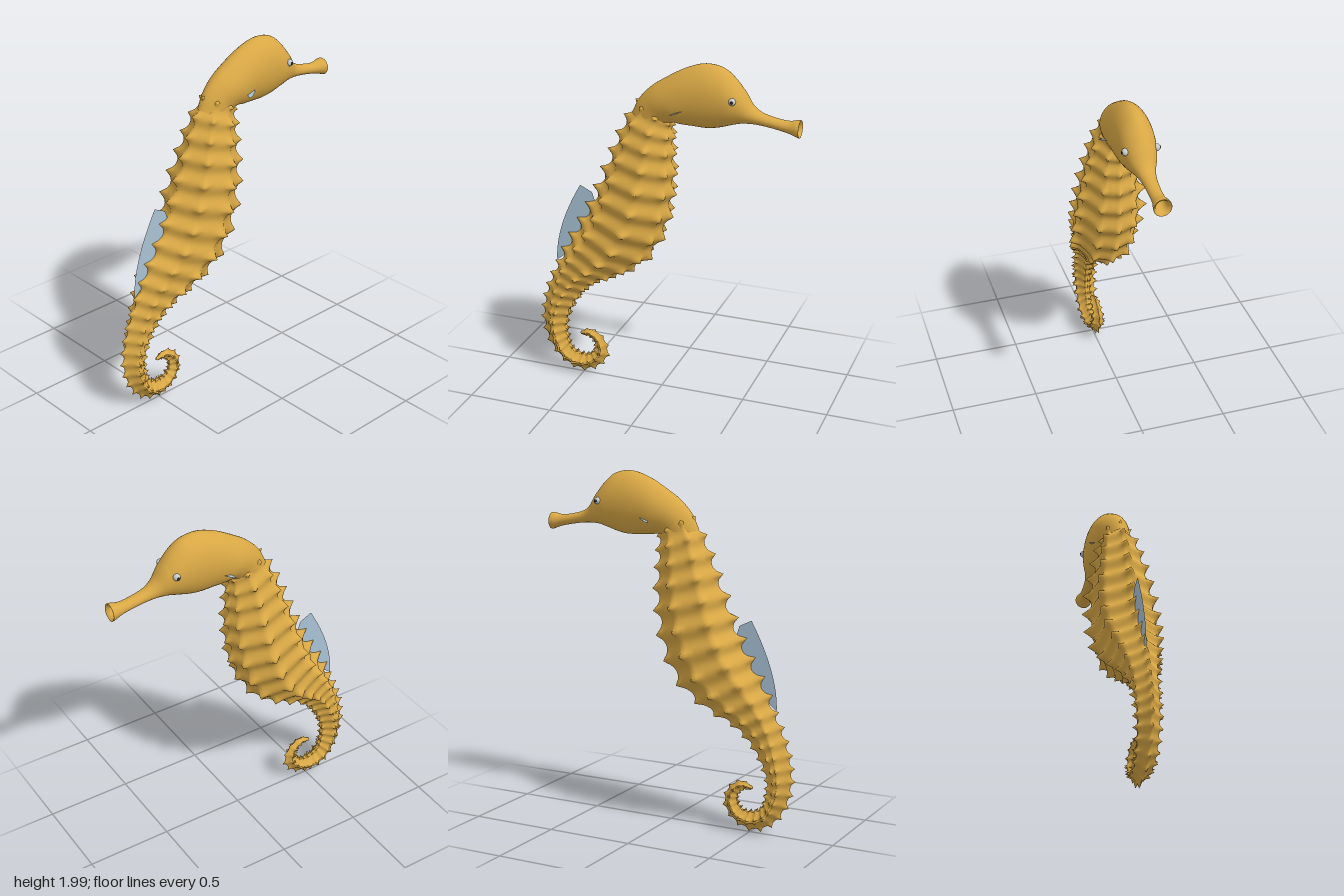
import * as THREE from 'three';

const lerp = THREE.MathUtils.lerp;

// Smooth closed-ring skin through equally sized rows of points
function skin(rows) {
  const n = rows[0].length, pos = [], idx = [];
  rows.forEach(r => r.forEach(p => pos.push(p.x, p.y, p.z)));
  for (let i = 0; i < rows.length - 1; i++) {
    for (let j = 0; j < n; j++) {
      const a = i * n + j, b = i * n + (j + 1) % n;
      idx.push(a, a + n, b, b, a + n, b + n);
    }
  }
  const g = new THREE.BufferGeometry();
  g.setAttribute('position', new THREE.Float32BufferAttribute(pos, 3));
  g.setIndex(idx);
  g.computeVertexNormals();
  return g;
}

// Side profile as sections [backZ, backY, bellyZ, bellyY, halfWidth]
function profile(list) {
  const back = new THREE.CatmullRomCurve3(list.map(s => new THREE.Vector3(s[4], s[1], s[0])));
  const belly = new THREE.CatmullRomCurve3(list.map(s => new THREE.Vector3(0, s[3], s[2])));
  return u => {
    const a = back.getPoint(u), b = belly.getPoint(u);
    const w = Math.max(a.x, 0);
    a.x = b.x = 0;
    const d = a.clone().sub(b), h = d.length() / 2;
    return { c: a.add(b).multiplyScalar(0.5), d: d.normalize(), h, w };
  };
}

// Ringed, ridged body: angular section, one thorn per ridge on every ring
function bodyGeometry() {
  const at = profile([
    [0.05, 1.80, -0.07, 1.71, 0.06],
    [0.13, 1.77, -0.08, 1.65, 0.085],
    [0.21, 1.67, -0.085, 1.57, 0.125],
    [0.27, 1.55, -0.09, 1.46, 0.155],
    [0.32, 1.43, -0.095, 1.33, 0.18],
    [0.37, 1.31, -0.085, 1.20, 0.20],
    [0.43, 1.16, -0.05, 1.02, 0.21],
    [0.51, 1.00, 0.06, 0.81, 0.20],
    [0.59, 0.86, 0.22, 0.69, 0.165],
    [0.66, 0.71, 0.39, 0.61, 0.12],
    [0.71, 0.60, 0.48, 0.53, 0.09],
    [0.75, 0.47, 0.55, 0.43, 0.08],
    [0.765, 0.33, 0.59, 0.32, 0.075],
    [0.725, 0.17, 0.585, 0.23, 0.07],
    [0.63, 0.055, 0.565, 0.165, 0.065],
    [0.51, 0.015, 0.51, 0.14, 0.058],
    [0.395, 0.06, 0.46, 0.145, 0.05],
    [0.335, 0.15, 0.435, 0.175, 0.043],
    [0.36, 0.25, 0.435, 0.215, 0.035],
    [0.44, 0.303, 0.465, 0.245, 0.028],
    [0.51, 0.28, 0.495, 0.25, 0.015],
    [0.52, 0.262, 0.52, 0.262, 0],
  ]);
  const rows = [], amps = [1, 0.8, 1, 0.7, 0.6], steps = 6000, perRing = 10;
  let phase = 0, mark = 0, prev = at(0).c;
  for (let i = 0; i <= steps; i++) {
    const u = i / steps, { c, d, h, w } = at(u);
    phase += c.distanceTo(prev) / (0.025 + 0.45 * h);
    prev = c;
    if (phase < mark / perRing && i < steps) continue;
    const f = Math.abs(mark / perRing - Math.round(mark / perRing));
    mark++;
    const swell = 1 - 0.09 * (1 - Math.cos(2 * Math.PI * f)) / 2;
    const thorn = Math.max(0, 1 - f / 0.24) ** 1.3;
    const len = Math.min(0.035, 0.011 + h * 0.1, h * 0.3);
    // ridge angles slide from a rounded trunk to a diamond tail
    const k = THREE.MathUtils.smoothstep(u, 0.38, 0.58);
    const ridge = [0, lerp(52, 82, k), lerp(102, 98, k), lerp(148, 165, k), 180];
    const half = [];
    for (let e = 0; e < 4; e++) {
      for (let q = 0; q < 8; q++) {
        const v = q / 8, A = ridge[e] * Math.PI / 180, B = ridge[e + 1] * Math.PI / 180;
        const near = v < 0.5 ? amps[e] : amps[e + 1];
        const s = near * Math.max(0, 1 - Math.min(v, 1 - v) / 0.26);
        half.push([lerp(Math.sin(A), Math.sin(B), v), lerp(Math.cos(A), Math.cos(B), v), s]);
      }
    }
    half.push([0, -1, amps[4]]);
    const ring = half.concat(half.slice(1, -1).reverse().map(([x, y, s]) => [-x, y, s]));
    rows.push(ring.map(([x, y, s]) => {
      const out = (s * thorn - 0.55) * len, m = Math.hypot(x, y);
      const px = x * w * swell + x / m * Math.min(out, w);
      const py = y * h * swell + y / m * Math.min(out, h);
      return c.clone().addScaledVector(d, py).add(new THREE.Vector3(px, 0, 0));
    }));
  }
  return skin(rows);
}

// Head, neck and hollow trumpet snout in one smooth skin
function headGeometry() {
  const at = profile([
    [-0.68, 1.705, -0.68, 1.703, 0],
    [-0.69, 1.73, -0.69, 1.68, 0.025],
    [-0.765, 1.728, -0.765, 1.66, 0.034],
    [-0.78, 1.742, -0.78, 1.645, 0.048],
    [-0.765, 1.742, -0.765, 1.65, 0.048],
    [-0.72, 1.733, -0.72, 1.665, 0.037],
    [-0.65, 1.74, -0.65, 1.68, 0.035],
    [-0.56, 1.765, -0.56, 1.693, 0.041],
    [-0.515, 1.80, -0.50, 1.695, 0.054],
    [-0.475, 1.86, -0.45, 1.69, 0.074],
    [-0.42, 1.93, -0.39, 1.673, 0.092],
    [-0.35, 1.985, -0.33, 1.655, 0.10],
    [-0.25, 2.0, -0.27, 1.645, 0.104],
    [-0.14, 1.967, -0.18, 1.647, 0.104],
    [-0.02, 1.90, -0.12, 1.65, 0.101],
    [0.06, 1.845, -0.08, 1.655, 0.092],
    [0.13, 1.77, -0.055, 1.645, 0.078],
    [0.17, 1.69, -0.03, 1.60, 0.07],
  ]);
  const rows = [], n = 40;
  for (let i = 0; i <= 136; i++) {
    const { c, d, h, w } = at(i / 136), row = [];
    for (let j = 0; j < n; j++) {
      const a = j / n * 2 * Math.PI, x = Math.sin(a), y = Math.cos(a);
      // slight keel along the crown
      const pinch = h > 0.1 ? 1 - 0.16 * Math.max(0, y) ** 3 : 1;
      row.push(c.clone().addScaledVector(d, y * h).add(new THREE.Vector3(x * w * pinch, 0, 0)));
    }
    rows.push(row);
  }
  return skin(rows);
}

export function createModel() {
  const model = new THREE.Group();
  const mat = (name, color, side = THREE.FrontSide) => {
    const m = new THREE.MeshStandardMaterial({ color, side });
    m.name = name;
    return m;
  };
  const gold = mat('golden skin', 0xd9a845);
  const finBlue = mat('pale blue fin', 0xa9c2d4, THREE.DoubleSide);
  const eyeGrey = mat('pale eye', 0xc9ccca);
  const dark = mat('dark pupil', 0x2a2824);
  const add = (name, geo, material) => {
    const m = new THREE.Mesh(geo, material);
    m.name = name;
    model.add(m);
    return m;
  };

  add('ringedBodyAndTail', bodyGeometry(), gold);
  add('headAndSnout', headGeometry(), gold);

  // Dorsal fin: flat sail on the centre line of the back
  const sail = new THREE.Shape();
  sail.moveTo(-0.497, 1.21);
  sail.quadraticCurveTo(-0.66, 0.93, -0.655, 0.72);
  sail.lineTo(-0.58, 0.78);
  sail.lineTo(-0.40, 1.10);
  sail.lineTo(-0.425, 1.175);
  add('dorsalFin', new THREE.ShapeGeometry(sail, 16).rotateY(Math.PI / 2), finBlue);

  for (const side of [1, -1]) {
    const label = side > 0 ? 'left' : 'right';

    // Small fin behind the cheek
    const fin = new THREE.Shape();
    fin.moveTo(0.085, -0.155);
    fin.quadraticCurveTo(0.118, -0.145, 0.13, -0.09);
    fin.lineTo(0.12, -0.085);
    fin.lineTo(0.085, -0.10);
    const g = new THREE.ShapeGeometry(fin, 8).rotateX(Math.PI / 2);
    const p = g.attributes.position;
    for (let i = 0; i < p.count; i++) {
      p.setXYZ(i, p.getX(i) * side, 1.727 - (p.getZ(i) + 0.085) * 0.37, p.getZ(i));
    }
    g.computeVertexNormals();
    add(label + 'CheekFin', g, finBlue);

    // Eye and pupil
    const eye = add(label + 'Eye', new THREE.SphereGeometry(0.02, 20, 14), eyeGrey);
    eye.position.set(side * 0.084, 1.83, -0.425);
    const pupil = add(label + 'Pupil', new THREE.SphereGeometry(0.009, 14, 10), dark);
    pupil.scale.x = 0.4;
    pupil.position.set(side * 0.1025, 1.83, -0.427);
  }
  return model;
}
